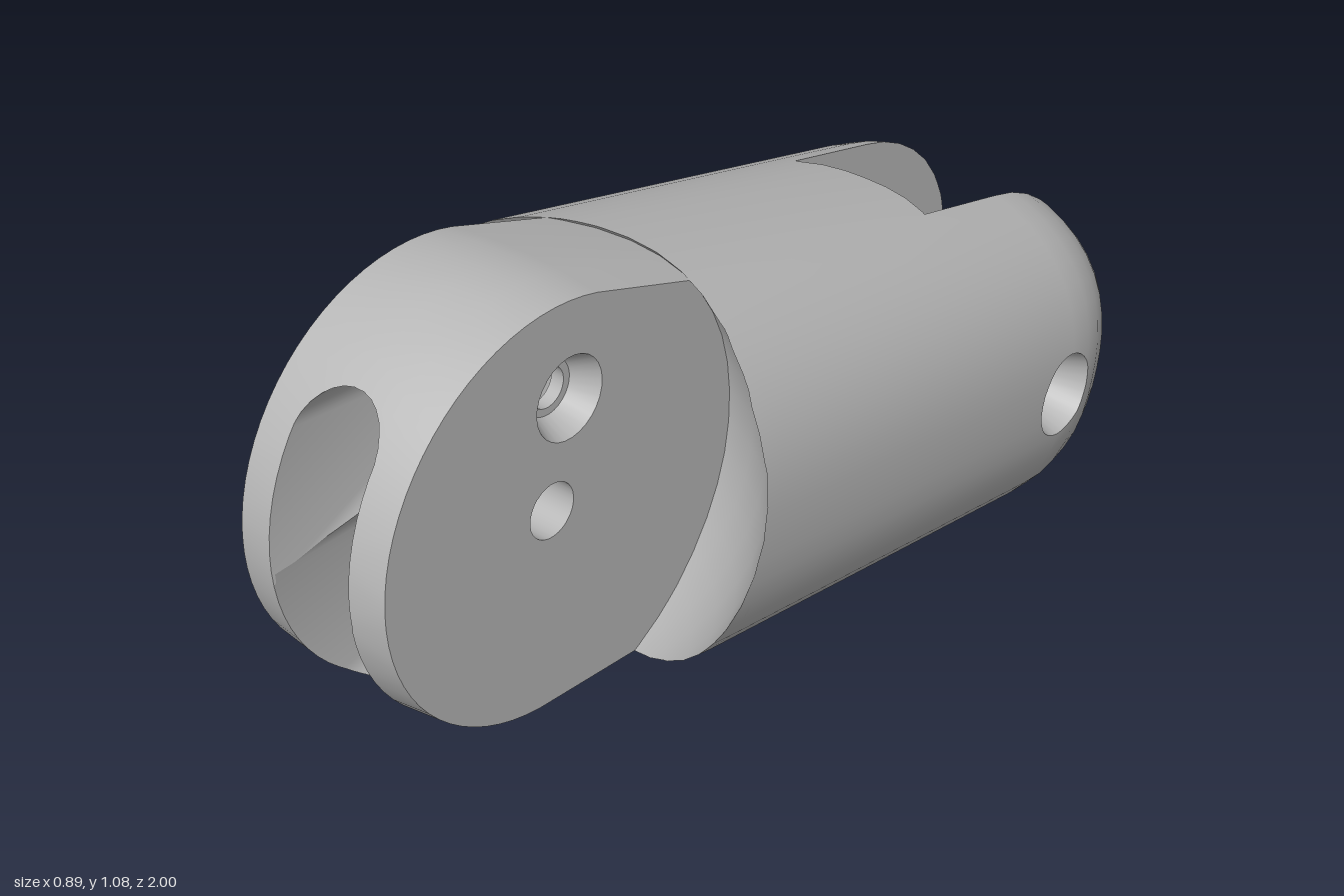
import * as THREE from 'three';
import { toCreasedNormals } from 'three/addons/utils/BufferGeometryUtils.js';
import { ConvexGeometry } from 'three/addons/geometries/ConvexGeometry.js';

const BACK = { y: 0.345, z: -0.64 }, FRONT = { y: 0.66, z: 0.58 }; // the two joint pins
const TILT = Math.atan2(FRONT.y - BACK.y, FRONT.z - BACK.z);
const EPS = 1e-6;

// --- small solid-cutting helpers: a polygon is a list of [x,y,z,nx,ny,nz] ---
const dist = (pl, v) => pl[0] * v[0] + pl[1] * v[1] + pl[2] * v[2] - pl[3];

function toPolygons(geometry) {
  const g = geometry.index ? geometry.toNonIndexed() : geometry;
  const p = g.attributes.position, n = g.attributes.normal, polys = [];
  for (let i = 0; i < p.count; i += 3) {
    const poly = [0, 1, 2].map(k => [p.getX(i + k), p.getY(i + k), p.getZ(i + k),
      n.getX(i + k), n.getY(i + k), n.getZ(i + k)]);
    const [a, b, c] = poly.map(v => new THREE.Vector3(...v.slice(0, 3)));
    const normal = b.sub(a).cross(c.sub(a));
    if (normal.length() < 1e-9) continue;
    normal.normalize();
    poly.plane = [normal.x, normal.y, normal.z, normal.dot(a)];
    polys.push(poly);
  }
  return polys;
}

// Parts of a polygon in front of and behind a plane
function split(poly, plane) {
  const d = poly.map(v => dist(plane, v));
  if (d.every(t => t > -EPS)) return [poly, null];
  if (d.every(t => t < EPS)) return [null, poly];
  const f = [], b = [];
  poly.forEach((v, i) => {
    const j = (i + 1) % poly.length, w = poly[j];
    if (d[i] > -EPS) f.push(v);
    if (d[i] < EPS) b.push(v);
    if ((d[i] > EPS && d[j] < -EPS) || (d[i] < -EPS && d[j] > EPS)) {
      const t = d[i] / (d[i] - d[j]), m = v.map((q, k) => q + (w[k] - q) * t);
      f.push(m);
      b.push(m);
    }
  });
  f.plane = b.plane = poly.plane;
  return [f, b];
}

function buildTree(polys) {
  if (!polys.length) return null;
  const plane = polys[0].plane, front = [], back = [];
  for (const poly of polys) {
    if (poly.every(v => Math.abs(dist(plane, v)) < EPS)) continue;
    const [f, b] = split(poly, plane);
    if (f) front.push(f);
    if (b) back.push(b);
  }
  return { plane, front: buildTree(front), back: buildTree(back) };
}

function clipPolygon(poly, node, inside) {
  const [f, b] = split(poly, node.plane);
  const F = !f ? [] : node.front ? clipPolygon(f, node.front, inside) : inside ? [] : [f];
  const B = !b ? [] : node.back ? clipPolygon(b, node.back, inside) : inside ? [b] : [];
  if (f && b && F.length === 1 && F[0] === f && B.length === 1 && B[0] === b) return [poly];
  return F.concat(B);
}

function solid(geometry) {
  const polys = toPolygons(geometry);
  return { polys, tree: buildTree(polys) };
}
const within = (polys, s) => polys.flatMap(p => clipPolygon(p, s.tree, true));
const outside = (polys, ...solids) =>
  solids.reduce((list, s) => list.flatMap(p => clipPolygon(p, s.tree, false)), polys);
const flip = polys => polys.map(p => p.map(v => v.map((q, k) => (k > 2 ? -q : q))).reverse());

// --- primitive shapes ---
// Cylinder along x from x0 to x1
function pin(y, z, r0, r1, x0, x1, sides = 28) {
  return solid(new THREE.CylinderGeometry(r1, r0, x1 - x0, sides)
    .rotateZ(-Math.PI / 2).translate((x0 + x1) / 2, y, z));
}

// Capsule-shaped passage between two [x, z, low, high, radius] openings
function passage(...openings) {
  const points = [];
  for (const [x, z, low, high, r] of openings) {
    for (let i = 0; i < 28; i++) {
      const a = ((i + 0.5) / 28) * Math.PI * 2;
      const y = Math.sin(a) > 0 ? high - r : low + r;
      points.push(new THREE.Vector3(x + r * Math.cos(a), y + r * Math.sin(a), z));
    }
  }
  return solid(toCreasedNormals(new ConvexGeometry(points), 0.6));
}

// Tapering barrel with a domed back end and slightly squared section
function bodyGeometry() {
  const profile = [];
  for (let i = 0; i <= 10; i++) {
    const a = (i / 10) * Math.PI / 2;
    profile.push(new THREE.Vector2(0.36 * Math.sin(a), -0.39 * Math.cos(a)));
  }
  profile.push(new THREE.Vector2(0.375, 0.5), new THREE.Vector2(0.39, 1),
    new THREE.Vector2(0.39, 1.2), new THREE.Vector2(0, 1.2));
  const g = new THREE.LatheGeometry(profile, 52);
  const p = g.attributes.position, n = 2.4;
  for (let i = 0; i < p.count; i++) {
    const x = p.getX(i), z = p.getZ(i), r = Math.hypot(x, z);
    if (r < 1e-6) continue;
    const k = (Math.abs(x / r) ** n + Math.abs(z / r) ** n) ** (-1 / n);
    p.setX(i, x * k * 1.13);
    p.setZ(i, z * k);
  }
  g.rotateX(Math.PI / 2 - TILT).translate(0, BACK.y, BACK.z);
  return toCreasedNormals(g, 0.6);
}

// Round hinge plate with a crowned rim, running back into the body
function tongueGeometry() {
  const outline = [[-0.56, -0.35], [-0.33, -0.375], [-0.33, 0.375], [-0.56, 0.35]];
  for (let i = 0; i <= 40; i++) {
    const a = THREE.MathUtils.degToRad(-100 + i * 5);
    outline.push([0.42 * Math.cos(a), 0.42 * Math.sin(a)]);
  }
  const points = [], c = Math.cos(TILT), s = Math.sin(TILT);
  for (const t of [-1, -0.5, 0, 0.5, 1]) {
    const k = 1 - 0.03 * t * t;
    for (const [u, v] of outline) {
      points.push(new THREE.Vector3(0.165 * t,
        FRONT.y + k * (u * s + v * c), FRONT.z + k * (u * c - v * s)));
    }
  }
  return toCreasedNormals(new ConvexGeometry(points), 0.4);
}

function toMesh(name, polys, material) {
  const position = [], normal = [];
  for (const poly of polys) {
    for (let i = 1; i < poly.length - 1; i++) {
      for (const v of [poly[0], poly[i], poly[i + 1]]) {
        // The whole link leans slightly sideways
        position.push(v[0] + 0.028 - 0.04 * v[2] - 0.03 * v[1], v[1], v[2]);
        normal.push(v[3], v[4], v[5]);
      }
    }
  }
  const g = new THREE.BufferGeometry();
  g.setAttribute('position', new THREE.Float32BufferAttribute(position, 3));
  g.setAttribute('normal', new THREE.Float32BufferAttribute(normal, 3));
  const mesh = new THREE.Mesh(g, material);
  mesh.name = name;
  return mesh;
}

export function createModel() {
  const grey = new THREE.MeshStandardMaterial({ color: 0xb8b8b8 });
  grey.name = 'plain grey';

  const body = solid(bodyGeometry());
  const tongue = solid(tongueGeometry());
  const socket = solid(new THREE.SphereGeometry(0.5, 36, 24).translate(0, FRONT.y, FRONT.z));
  const fork = pin(BACK.y, BACK.z, 0.43, 0.43, -0.158, 0.158, 64);
  const cuts = [
    pin(0.665, 0.585, 0.055, 0.055, -0.25, 0.25),          // hinge hole
    pin(0.87, 0.525, 0.04, 0.04, -0.251, 0.24),            // cord pin hole
    pin(0.87, 0.525, 0.055, 0.09, 0.115, 0.18),            // its countersink
    pin(0.35, -0.635, 0.04, 0.04, -0.5, 0.49),             // fork pin hole
    pin(0.35, -0.635, 0.06, 0.095, 0.32, 0.42),            // its countersink
    passage([0, 1.05, 0.26, 0.73, 0.092], [-0.02, -0.3, 0.39, 0.64, 0.075]), // cord tunnel
    passage([0, 1.1, 0.5, 1.02, 0.093], [0, 0.45, 0.76, 0.94, 0.088]),       // upper pocket
  ];

  const group = new THREE.Group();
  group.name = 'hingedLink';
  const add = (name, polys) => group.add(toMesh(name, polys, grey));

  add('body', outside(body.polys, socket, fork, tongue, ...cuts));
  add('socketFaces', flip(outside(within(socket.polys, body), fork, tongue, ...cuts)));
  add('forkSlot', flip(outside(within(fork.polys, body), socket, ...cuts)));
  add('tongue', outside([...outside(tongue.polys, body),
    ...within(within(tongue.polys, body), socket)], ...cuts));
  cuts.forEach((cut, i) => {
    const others = cuts.filter((_, j) => j !== i);
    const walls = outside(cut.polys, ...others);
    add('holeWall' + (i + 1), flip([...within(walls, tongue),
      ...outside(within(outside(walls, tongue), body), socket, fork)]));
  });
  return group;
}
